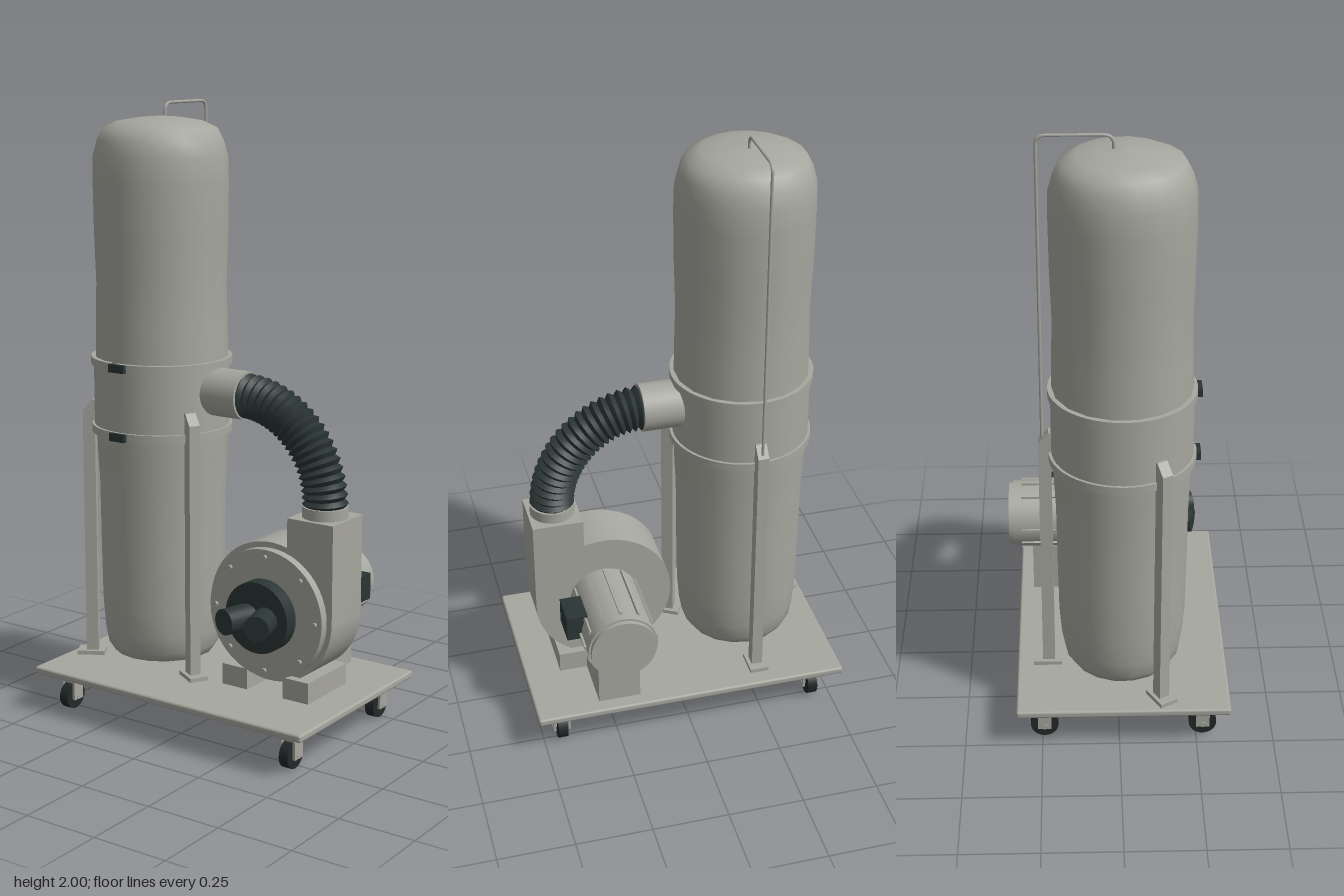
import * as THREE from 'three';
import { RoundedBoxGeometry } from 'three/addons/geometries/RoundedBoxGeometry.js';
import { toCreasedNormals } from 'three/addons/utils/BufferGeometryUtils.js';

export function createModel() {
  const model = new THREE.Group();
  model.name = 'dustCollector';
  const mat = (name, color, side = THREE.FrontSide) => {
    const m = new THREE.MeshStandardMaterial({ color, side });
    m.name = name;
    return m;
  };
  const grey = mat('paintedGrey', 0xa6a79e);
  const dark = mat('darkRubber', 0x2b3535);
  const wheelMat = mat('wheelBlack', 0x222828);

  const add = (name, geo, material, x = 0, y = 0, z = 0, parent = model) => {
    const m = new THREE.Mesh(geo, material);
    m.name = name;
    m.position.set(x, y, z);
    parent.add(m);
    return m;
  };
  // box given by its limits
  const box = (name, material, x0, x1, y0, y1, z0, z1, parent) =>
    add(name, new THREE.BoxGeometry(x1 - x0, y1 - y0, z1 - z0), material,
      (x0 + x1) / 2, (y0 + y1) / 2, (z0 + z1) / 2, parent);
  // cylinder between two points
  const rod = (name, material, a, b, r, sides = 32, parent = model) => {
    const p = new THREE.Vector3(...a), q = new THREE.Vector3(...b);
    const m = add(name, new THREE.CylinderGeometry(r, r, p.distanceTo(q), sides), material, 0, 0, 0, parent);
    m.position.copy(p).lerp(q, 0.5);
    m.quaternion.setFromUnitVectors(new THREE.Vector3(0, 1, 0), q.sub(p).normalize());
    return m;
  };
  const lathe = (name, pts, sides, x, z) =>
    add(name, new THREE.LatheGeometry(pts.map(p => new THREE.Vector2(...p)), sides), grey, x, 0, z);

  // Base plate
  add('basePlate', new RoundedBoxGeometry(1.05, 0.025, 0.69, 2, 0.008), grey, 0, 0.138, 0.013);

  // Swivel casters
  for (const x of [-0.437, 0.437]) for (const z of [-0.243, 0.272]) {
    const caster = new THREE.Group();
    caster.name = 'caster';
    caster.position.set(x, 0, z);
    model.add(caster);
    rod('casterWheel', wheelMat, [-0.016, 0.045, 0], [0.016, 0.045, 0], 0.045, 24, caster);
    rod('casterAxle', grey, [-0.031, 0.045, 0], [0.031, 0.045, 0], 0.01, 10, caster);
    box('casterForkTop', grey, -0.029, 0.029, 0.094, 0.108, -0.025, 0.025, caster);
    box('casterSwivel', grey, -0.034, 0.034, 0.108, 0.126, -0.034, 0.034, caster);
    for (const s of [-1, 1]) {
      const c = s * 0.0245;
      box('casterForkSide', grey, c - 0.0045, c + 0.0045, 0.035, 0.1, -0.022, 0.022, caster);
    }
  }

  // Filter bag, drum and collection bag
  const bx = -0.245, bz = 0.014;
  lathe('filterBag', [[0.218, 1.17], [0.216, 1.3], [0.213, 1.42], [0.218, 1.58], [0.22, 1.75], [0.218, 1.83],
    [0.204, 1.88], [0.184, 1.918], [0.14, 1.938], [0.07, 1.95], [0, 1.955]], 18, bx, bz);
  lathe('collectionBag', [[0, 0.172], [0.13, 0.174], [0.168, 0.184], [0.188, 0.215], [0.198, 0.27], [0.205, 0.36],
    [0.208, 0.55], [0.21, 0.75], [0.216, 0.87], [0.218, 0.95]], 18, bx, bz);
  rod('drum', grey, [bx, 0.94, bz], [bx, 1.18, bz], 0.222, 48);
  for (const y of [0.948, 1.172]) {
    rod('bagClampBand', grey, [bx, y - 0.013, bz], [bx, y + 0.013, bz], 0.231, 48);
    box('bandLatch', dark, bx - 0.03, bx + 0.03, y - 0.013, y + 0.013, 0.225, 0.258);
  }

  // Three support legs around the drum
  const legShape = new THREE.Shape([[0.222, 0.15], [0.262, 0.15], [0.262, 0.995], [0.23, 1.03], [0.222, 1.03]]
    .map(p => new THREE.Vector2(...p)));
  const legGeo = new THREE.ExtrudeGeometry(legShape, { depth: 0.036, bevelEnabled: false }).translate(0, 0, -0.018);
  for (const angle of [Math.PI / 2, -Math.PI / 6, -5 * Math.PI / 6]) {
    const leg = new THREE.Group();
    leg.name = 'supportLeg';
    leg.position.set(bx, 0, bz);
    leg.rotation.y = angle;
    model.add(leg);
    add('legPost', legGeo, grey, 0, 0, 0, leg);
    box('legFoot', grey, 0.2, 0.292, 0.15, 0.164, -0.031, 0.031, leg);
  }

  // Bag hanger rod
  const hanger = new THREE.CurvePath();
  const v = (y, z) => new THREE.Vector3(bx, y, z);
  hanger.add(new THREE.LineCurve3(v(1.0, -0.236), v(1.965, -0.236)));
  hanger.add(new THREE.QuadraticBezierCurve3(v(1.965, -0.236), v(1.995, -0.236), v(1.995, -0.206)));
  hanger.add(new THREE.LineCurve3(v(1.995, -0.206), v(1.995, -0.045)));
  hanger.add(new THREE.QuadraticBezierCurve3(v(1.995, -0.045), v(1.995, -0.012), v(1.965, -0.012)));
  hanger.add(new THREE.LineCurve3(v(1.965, -0.012), v(1.945, -0.012)));
  add('hangerRod', new THREE.TubeGeometry(hanger, 160, 0.005, 8), grey);

  // Drum inlet and ribbed hose
  rod('drumInlet', grey, [-0.09, 1.085, 0.013], [0.093, 1.085, 0.013], 0.078, 32);
  const k = 0.5523, hx = 0.085, hy = 0.765, rx = 0.305, ry = 0.32;
  const hosePath = new THREE.CubicBezierCurve3(
    new THREE.Vector3(hx, hy + ry, 0.013), new THREE.Vector3(hx + rx * k, hy + ry, 0.013),
    new THREE.Vector3(hx + rx, hy + ry * k, 0.013), new THREE.Vector3(hx + rx, hy, 0.013));
  const ribs = 20, rings = ribs * 4, sides = 24;
  const hose = new THREE.TubeGeometry(hosePath, rings, 1, sides);
  const pos = hose.attributes.position, p = new THREE.Vector3();
  for (let i = 0; i <= rings; i++) {
    const c = hosePath.getPointAt(i / rings);
    const r = [0.06, 0.067, 0.073, 0.067][i % 4];
    for (let j = 0; j <= sides; j++) {
      const n = i * (sides + 1) + j;
      p.fromBufferAttribute(pos, n).sub(c).multiplyScalar(r).add(c);
      pos.setXYZ(n, p.x, p.y, p.z);
    }
  }
  add('ribbedHose', toCreasedNormals(hose, 0.45), dark);

  // Blower housing: round scroll with an upright outlet duct
  const cx = 0.243, cy = 0.418, R = 0.229;
  const scroll = new THREE.Shape();
  scroll.moveTo(0.305, 0.735);
  scroll.lineTo(0.305, 0.638);
  scroll.absarc(cx, cy, R, Math.acos((0.305 - cx) / R), Math.PI * 2, false);
  scroll.lineTo(cx + R, 0.735);
  const housing = new THREE.ExtrudeGeometry(scroll, { depth: 0.175, bevelEnabled: false, curveSegments: 32 });
  add('blowerHousing', toCreasedNormals(housing, 0.4), grey, 0, 0, -0.075);
  rod('outletCollar', grey, [0.39, 0.73, 0.013], [0.39, 0.77, 0.013], 0.073);
  for (const x of [0.078, 0.31]) box('blowerFoot', grey, x, x + 0.096, 0.15, 0.22, -0.1, 0.128);

  // Front cover with bolts
  rod('frontCover', grey, [cx, cy, 0.1], [cx, cy, 0.13], 0.211, 48);
  for (let i = 0; i < 8; i++) {
    const a = i * Math.PI / 4, x = cx + 0.187 * Math.cos(a), y = cy + 0.187 * Math.sin(a);
    rod('coverBolt', grey, [x, y, 0.125], [x, y, 0.14], 0.008, 8);
  }

  // Twin intake
  rod('intakeRing', dark, [cx, cy, 0.125], [cx, cy, 0.18], 0.116, 40);
  for (const s of [-1, 1])
    rod('intakePipe', dark, [cx + s * 0.03, cy, 0.16], [cx + s * 0.061, cy, 0.27], 0.042, 24);

  // Motor with cooling fins, end cap, switch box and pedestal
  rod('motorBody', grey, [cx, cy, -0.35], [cx, cy, -0.07], 0.115, 40);
  rod('motorEndCap', grey, [cx, cy, -0.365], [cx, cy, -0.35], 0.108, 40);
  for (let i = 0; i < 12; i++) {
    const fin = new THREE.Group();
    fin.name = 'coolingFin';
    fin.position.set(cx, cy, 0);
    fin.rotation.z = i * Math.PI / 6;
    model.add(fin);
    box('finBar', grey, -0.005, 0.005, 0.1, 0.122, -0.322, -0.085, fin);
  }
  box('switchBox', dark, 0.336, 0.405, 0.4, 0.487, -0.248, -0.138);
  box('motorPedestal', grey, 0.173, 0.313, 0.15, 0.325, -0.285, -0.1);

  return model;
}
